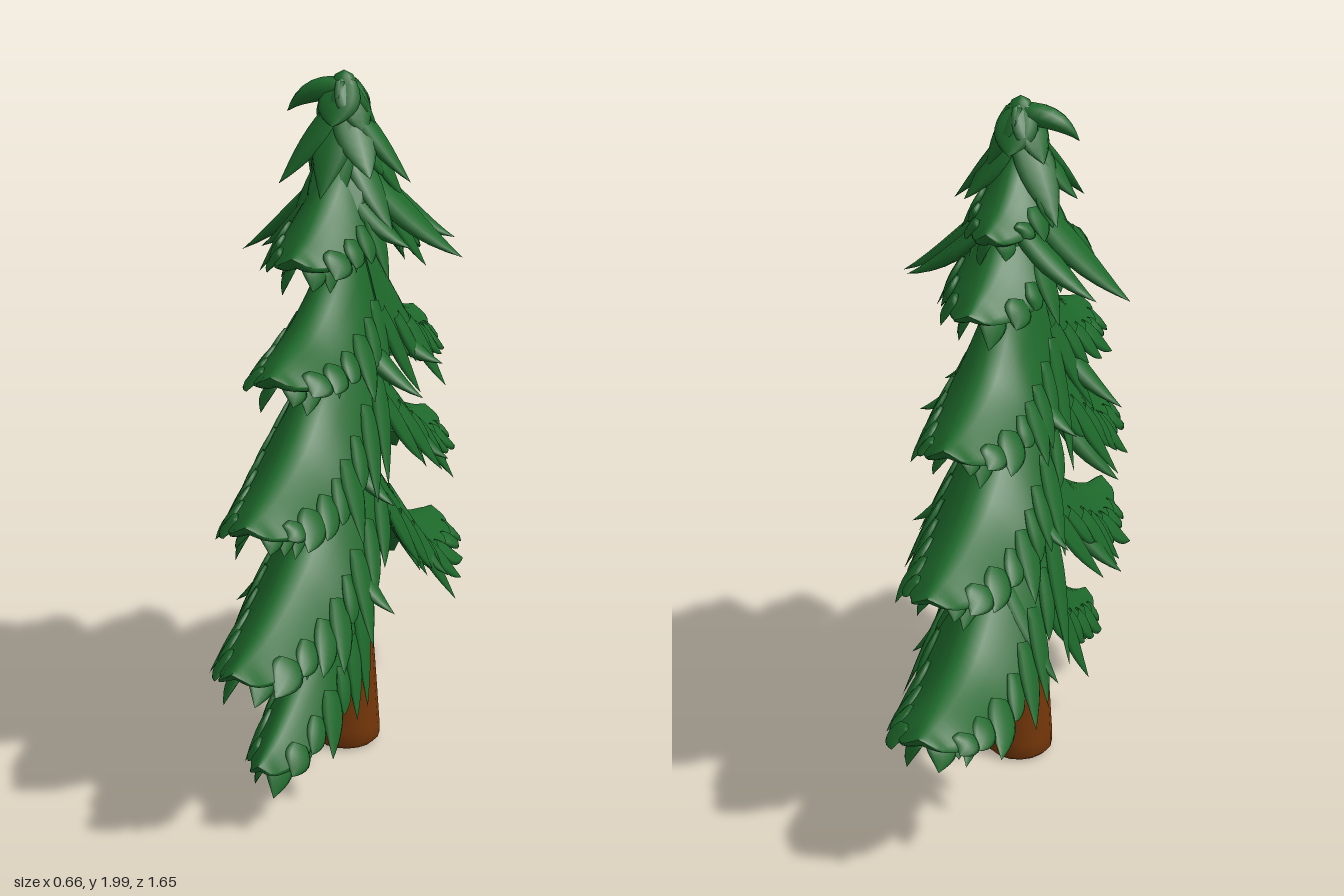
import * as THREE from 'three';
import { mergeGeometries } from 'three/addons/utils/BufferGeometryUtils.js';

const V = (x, y, z) => new THREE.Vector3(x, y, z);

// Closed tube of cross-sections: fn(u, angle) returns a point
function loft(fn, nu, nv) {
  const pos = [], idx = [];
  for (let i = 0; i <= nu; i++) {
    for (let j = 0; j < nv; j++) {
      pos.push(...fn(i / nu, (j / nv) * Math.PI * 2).toArray());
      if (i === nu) continue;
      const a = i * nv + j, b = i * nv + ((j + 1) % nv);
      idx.push(a, b, a + nv, b, b + nv, a + nv);
    }
  }
  const g = new THREE.BufferGeometry();
  g.setAttribute('position', new THREE.Float32BufferAttribute(pos, 3));
  g.setIndex(idx);
  g.computeVertexNormals();
  return g;
}

// Flat pointed needle tuft along a bent path; normal is its broad side's facing
function leaf(start, mid, end, width, thick, normal) {
  const curve = new THREE.QuadraticBezierCurve3(start, mid, end);
  return loft((u, a) => {
    const t = curve.getTangent(u);
    const w = V(0, 0, 0).crossVectors(normal, t).normalize();
    const n = V(0, 0, 0).crossVectors(t, w);
    const s = Math.max(0, Math.sin(Math.PI * (0.22 + 0.78 * u)));
    return curve.getPoint(u).addScaledVector(w, width * s * Math.cos(a))
      .addScaledVector(n, thick * s * Math.sin(a));
  }, 8, 8);
}

// Arched bough; each ridge point is [z, y, droop of the hem below the ridge]
function bough(ridge, width, teeth) {
  const dir = Math.sign(ridge[ridge.length - 1][0]);
  const curve = new THREE.CatmullRomCurve3(ridge.map(([z, y, d]) => V(d, y, z)));
  const round = (u) => Math.sqrt(Math.max(0, 1 - Math.pow(u, 14)));
  const halfWidth = (u) => width * Math.max(0.4, 0.7 + 0.9 * u - 1.4 * u * u) * round(u);
  const surface = (u, v, depth = 0) => {
    const t = Math.min(1, Math.max(0, u)), p = curve.getPoint(t);
    const thick = Math.max(0.085, 0.45 * p.x) * Math.sqrt(Math.max(0, Math.sin(Math.PI * t))) * (1 - v * v);
    return V(halfWidth(t) * v, p.y - p.x * round(t) * Math.pow(Math.abs(v), 1.35) - depth * thick, p.z);
  };
  const parts = [loft((u, a) => {
    const top = Math.sin(dir * a) >= 0;
    return surface(u, Math.cos(dir * a) * 0.92, top ? 0 : 1);
  }, 32, 24)];
  // Hem tufts outside, and a second row hanging from the underside
  for (const side of [-1, 1]) {
    for (let row = 0; row < 2; row++) {
      for (let i = 0; i < teeth; i++) {
        const u = 0.02 + (0.82 * (i + row * 0.5)) / teeth;
        const jit = Math.sin(i * 2.4 + side * 0.8 + row + ridge[0][1] * 9);
        const reach = row ? 0.7 : 1.12 + 0.16 * jit;
        const start = surface(u, side * (row ? 0.2 : 0.7), row * 0.8);
        const mid = surface(u + 0.05, side * (row ? 0.5 : 0.92), row);
        const end = surface(Math.min(0.95, u + 0.13 + 0.03 * jit), side * reach, row);
        end.y -= row * (0.05 + 0.02 * jit);
        const drop = curve.getPoint(u).x;
        const normal = V(side * drop, halfWidth(u) + 0.02, 0).normalize();
        parts.push(leaf(start, mid, end, 0.044 + 0.007 * jit, 0.012, normal));
      }
    }
  }
  return mergeGeometries(parts);
}

// Ring of tufts around the stem, longer or shorter by compass direction
function whorl(count, y0, y1, rx, rzFront, rzBack, turn) {
  const parts = [];
  for (let i = 0; i < count; i++) {
    const a = turn + (i / count) * Math.PI * 2, c = Math.cos(a), s = Math.sin(a);
    const jit = 1 + 0.1 * Math.sin(i * 3.7 + y0 * 11);
    const x = rx * c * jit, z = (s > 0 ? rzFront : rzBack) * s * jit;
    parts.push(leaf(V(c * 0.01, y0, s * 0.01), V(x * 0.5, y0 * 0.5 + y1 * 0.5 - 0.015, z * 0.5),
      V(x, y1 + 0.03 * Math.sin(i * 2.1), z), 0.06, 0.022, V(c * 0.8, 0.6, s * 0.8)));
  }
  return mergeGeometries(parts);
}

export function createModel() {
  const tree = new THREE.Group();
  tree.name = 'firTree';
  const green = new THREE.MeshStandardMaterial({ color: 0x1d672a, side: THREE.DoubleSide });
  green.name = 'needleGreen';
  const brown = new THREE.MeshStandardMaterial({ color: 0x743608 });
  brown.name = 'barkBrown';
  const add = (name, geometry, material) => {
    const m = new THREE.Mesh(geometry, material);
    m.name = name;
    tree.add(m);
  };

  // Trunk leans slightly forward as it rises
  const profile = [[0, 0.005], [0.085, 0.005], [0.1, 0.02], [0.1, 0.06], [0.088, 0.25], [0.074, 0.45],
    [0.06, 0.65], [0.045, 0.95], [0.03, 1.3], [0.015, 1.6], [0, 1.62]];
  const trunk = new THREE.LatheGeometry(profile.map(([r, y]) => new THREE.Vector2(r, y)), 16);
  const tp = trunk.attributes.position;
  for (let i = 0; i < tp.count; i++) tp.setZ(i, tp.getZ(i) - 0.018 * Math.max(0, 1 - tp.getY(i) / 1.2));
  trunk.computeVertexNormals();
  add('trunk', trunk, brown);

  // Bare twigs, [y, z] start and end
  [[0.4, -0.05, 0.5, -0.18], [0.5, -0.05, 0.58, -0.16], [0.9, 0, 0.95, 0.2],
    [0.58, 0.02, 0.66, 0.16], [0.34, 0.03, 0.42, 0.14]].forEach(([y0, z0, y1, z1]) => {
    const path = new THREE.QuadraticBezierCurve3(V(0, y0, z0),
      V(0, y0 + (y1 - y0) * 0.3, (z0 + z1) / 2), V(0, y1, z1));
    add('twig', new THREE.TubeGeometry(path, 6, 0.018, 7), brown);
  });

  // Front boughs, lowest first: ridge, width, tufts per side
  const front = [
    [[[0.035, 0.68, 0.3], [0.2, 0.55, 0.3], [0.355, 0.39, 0.17], [0.54, 0.27, 0.09], [0.66, 0.22, 0.05]], 0.13, 6],
    [[[-0.04, 1.01, 0.32], [0.24, 0.84, 0.25], [0.42, 0.71, 0.2], [0.65, 0.6, 0.11], [0.825, 0.555, 0.06]], 0.2, 8],
    [[[-0.015, 1.36, 0.32], [0.25, 1.18, 0.26], [0.41, 1.05, 0.19], [0.6, 0.96, 0.1], [0.725, 0.92, 0.05]], 0.2, 8],
    [[[-0.005, 1.64, 0.44], [0.14, 1.47, 0.26], [0.3, 1.35, 0.14], [0.44, 1.3, 0.08], [0.545, 1.27, 0.04]], 0.18, 6],
    [[[-0.03, 1.86, 0.3], [0.1, 1.75, 0.22], [0.2, 1.66, 0.14], [0.3, 1.59, 0.08], [0.39, 1.55, 0.04]], 0.17, 5],
  ];
  const back = [
    [[[-0.035, 0.99, 0.34], [-0.28, 0.76, 0.27], [-0.49, 0.58, 0.19], [-0.72, 0.505, 0.09], [-0.825, 0.48, 0.05]], 0.21, 8],
    [[[-0.015, 1.32, 0.38], [-0.25, 1.1, 0.23], [-0.39, 0.98, 0.18], [-0.6, 0.89, 0.1], [-0.745, 0.85, 0.05]], 0.21, 8],
    [[[-0.01, 1.64, 0.49], [-0.21, 1.46, 0.32], [-0.33, 1.32, 0.18], [-0.49, 1.24, 0.1], [-0.615, 1.21, 0.05]], 0.2, 7],
    [[[0.03, 1.86, 0.32], [-0.15, 1.71, 0.2], [-0.28, 1.59, 0.11], [-0.42, 1.51, 0.04]], 0.18, 5],
    [[[-0.01, 1.92, 0.2], [-0.09, 1.82, 0.13], [-0.18, 1.735, 0.07], [-0.285, 1.69, 0.04]], 0.13, 4],
  ];
  front.forEach((b) => add('frontBough', bough(...b), green));
  back.forEach((b) => add('backBough', bough(...b), green));

  // Long tufts sticking out to the sides: [root y, tip x, tip y, tip z, half width]
  const sideTufts = [[1.74, 0.33, 1.48, -0.05, 0.085], [1.7, 0.27, 1.51, -0.17, 0.06], [1.7, 0.22, 1.52, 0.07, 0.06],
    [1.34, 0.27, 1.11, 0.1, 0.055], [1.3, 0.23, 1.13, -0.2, 0.055], [1.04, 0.23, 0.82, -0.27, 0.055],
    [1.06, 0.23, 0.83, 0.22, 0.055], [0.76, 0.24, 0.52, 0.24, 0.055], [0.72, 0.22, 0.43, -0.32, 0.05]];
  for (const side of [-1, 1]) {
    for (const [y0, x, y, z, width] of sideTufts) {
      add(side > 0 ? 'leftTuft' : 'rightTuft', leaf(V(side * 0.03, y0, z * 0.85),
        V(side * x * 0.5, (y0 + y) / 2 - 0.04, z * 0.92), V(side * x, y + side * 0.012, z),
        width, 0.025, V(side * 0.6, 0.8, 0)), green);
    }
  }

  // Crown: core, three whorls and a bent leader tip
  const core = [[0.09, 1.68], [0.075, 1.78], [0.057, 1.88], [0.042, 1.95], [0.025, 1.985], [0, 1.998]];
  add('crownCore', new THREE.LatheGeometry(core.map(([r, y]) => new THREE.Vector2(r, y)), 14), green);
  add('upperWhorl', whorl(6, 1.97, 1.83, 0.09, 0.1, 0.12, 0.5), green);
  add('middleWhorl', whorl(8, 1.92, 1.7, 0.18, 0.19, 0.14, 0), green);
  add('lowerWhorl', whorl(9, 1.82, 1.57, 0.16, 0.2, 0.2, 0.3), green);
  add('leaderTip', leaf(V(0.03, 1.95, 0), V(-0.1, 1.96, 0.01), V(-0.16, 1.88, 0.02), 0.045, 0.032, V(-0.2, 1, 0)), green);
  return tree;
}
